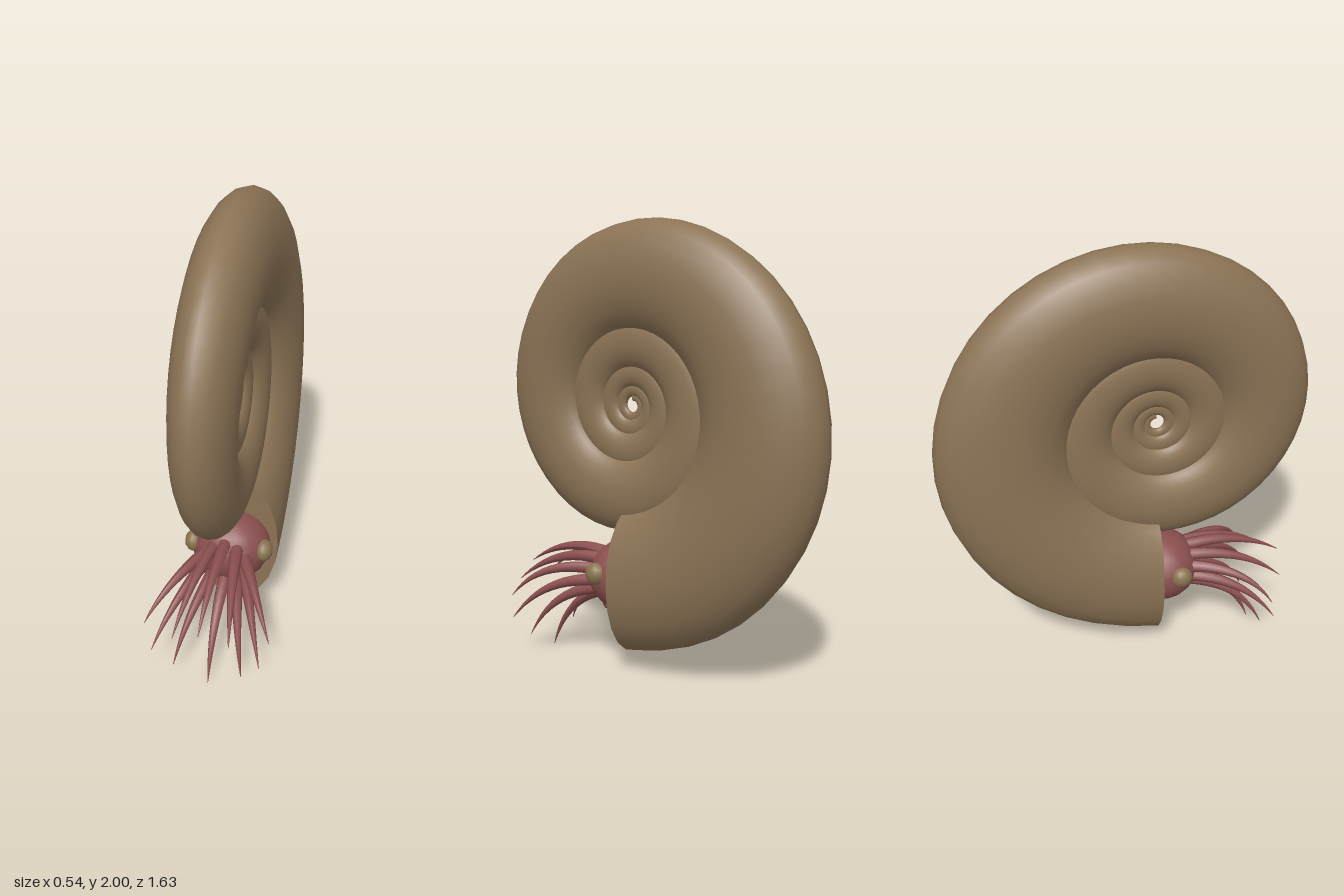
import * as THREE from 'three';
import { ParametricGeometry } from 'three/addons/geometries/ParametricGeometry.js';

const shellMat = new THREE.MeshStandardMaterial({ name: 'shellBrown', color: 0x8b7355 });
const fleshMat = new THREE.MeshStandardMaterial({ name: 'fleshRed', color: 0x8b4f4f });
const eyeMat = new THREE.MeshStandardMaterial({ name: 'eyeOlive', color: 0x8a7350 });

// Logarithmic spiral: sizes at the mouth, shrinking by RATIO each turn inward
const CY = 1.2, CZ = 0.137, TURNS = 4.5, RATIO = 0.507;
const MID = 0.78, HALF_H = 0.342, HALF_W = 0.205;

function shellPoint(u, v, target) {
  const n = u * TURNS, phi = n * Math.PI * 2, theta = v * Math.PI * 2;
  const f = Math.pow(RATIO, n);
  const r = f * (MID + HALF_H * Math.cos(theta));
  target.set(f * HALF_W * Math.sin(theta), CY - r * Math.cos(phi), CZ - r * Math.sin(phi));
}

function add(parent, name, geometry, material) {
  const mesh = new THREE.Mesh(geometry, material);
  mesh.name = name;
  parent.add(mesh);
  return mesh;
}

// Tube that narrows to a point along a curve
function taperedTube(curve, radius, segments, sides) {
  const geo = new THREE.TubeGeometry(curve, segments, radius, sides, false);
  const pos = geo.attributes.position, p = new THREE.Vector3();
  for (let i = 0; i <= segments; i++) {
    const t = i / segments, centre = curve.getPointAt(t);
    const scale = 1 - 0.95 * Math.pow(t, 1.4);
    for (let j = 0; j <= sides; j++) {
      const k = i * (sides + 1) + j;
      p.fromBufferAttribute(pos, k).sub(centre).multiplyScalar(scale).add(centre);
      pos.setXYZ(k, p.x, p.y, p.z);
    }
  }
  geo.computeVertexNormals();
  return geo;
}

export function createModel() {
  const model = new THREE.Group();
  model.name = 'ammonite';

  // Coiled shell
  add(model, 'shell', new ParametricGeometry(shellPoint, 200, 20), shellMat);

  // Flat closures at the mouth and at the innermost end
  const mouth = add(model, 'shellMouth', new THREE.CircleGeometry(1, 20), shellMat);
  mouth.scale.set(HALF_W, HALF_H, 1);
  mouth.position.set(0, CY - MID, CZ);
  const f = Math.pow(RATIO, TURNS);
  const core = add(model, 'shellCore', new THREE.CircleGeometry(1, 20), shellMat);
  core.scale.set(HALF_W * f, HALF_H * f, 1);
  core.position.set(0, CY + MID * f, CZ);

  // Head
  const head = add(model, 'head', new THREE.SphereGeometry(1, 16, 12), fleshMat);
  head.scale.set(0.178, 0.165, 0.17);
  head.position.set(0, 0.425, 0.175);

  // Siphon below the head
  const siphon = add(model, 'siphon', new THREE.CylinderGeometry(0.03, 0.045, 0.12, 10), fleshMat);
  siphon.position.set(0, 0.29, 0.24);
  siphon.rotation.x = Math.PI * 0.6;

  // Eyes
  for (const side of [-1, 1]) {
    const eye = add(model, side > 0 ? 'leftEye' : 'rightEye', new THREE.SphereGeometry(0.05, 12, 10), eyeMat);
    eye.scale.x = 0.8;
    eye.position.set(side * 0.16, 0.455, 0.23);
  }

  // Arms in a ring, from the lowest round to the highest
  const tips = [[0, 0, 0.63], [0.15, 0.09, 0.64], [0.235, 0.19, 0.67],
    [0.27, 0.31, 0.64], [0.12, 0.34, 0.73], [0, 0.4, 0.76]];
  const arms = new THREE.Group();
  arms.name = 'arms';
  model.add(arms);
  tips.forEach(([x, y, z], i) => {
    const a = i * Math.PI / 5;
    for (const side of x ? [-1, 1] : [1]) {
      const base = new THREE.Vector3(side * 0.085 * Math.sin(a), 0.425 - 0.085 * Math.cos(a), 0.28);
      const bend = new THREE.Vector3(side * x * 0.7, (base.y + y) / 2 + 0.1, 0.54);
      const curve = new THREE.QuadraticBezierCurve3(base, bend, new THREE.Vector3(side * x, y, z));
      add(arms, 'arm', taperedTube(curve, 0.029, 12, 8), fleshMat);
    }
  });

  return model;
}
